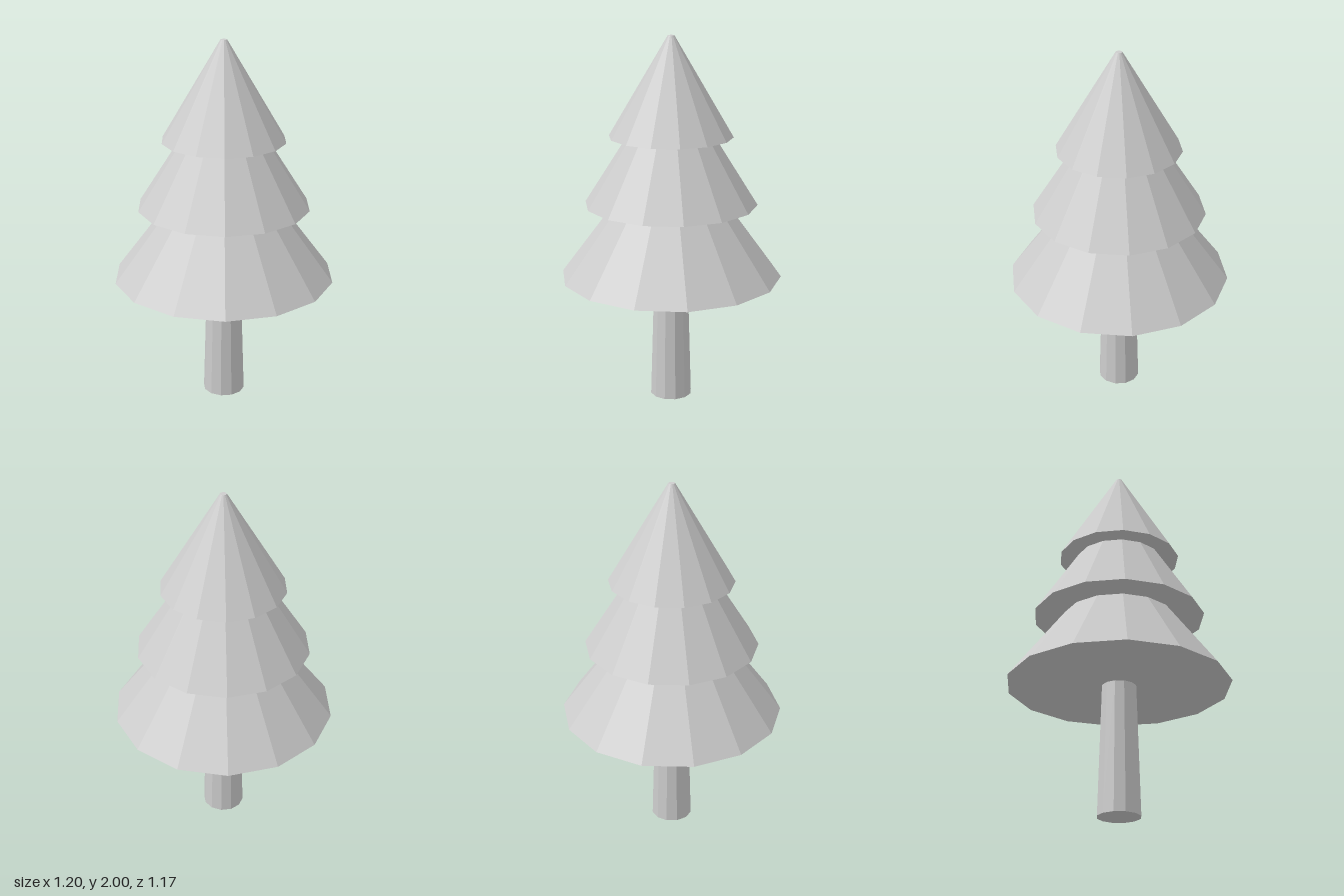
import * as THREE from 'three';

export function createModel() {
  const tree = new THREE.Group();
  tree.name = 'pineTree';
  const grey = new THREE.MeshStandardMaterial({ color: 0xcccccc, flatShading: true });
  grey.name = 'plainGrey';

  // Faceted tapered solid from y0 to y1, with a corner on the x axis
  function taper(name, sides, y0, r0, y1, r1) {
    const geometry = new THREE.CylinderGeometry(r1, r0, y1 - y0, sides);
    geometry.rotateY(Math.PI / 2);
    geometry.translate(0, (y0 + y1) / 2, 0);
    const mesh = new THREE.Mesh(geometry, grey);
    mesh.name = name;
    tree.add(mesh);
  }

  // Trunk, ending just inside the foliage
  taper('trunk', 12, 0, 0.115, 0.72, 0.093);

  // Foliage tiers, each tucked into the one above
  taper('lowerFoliage', 14, 0.705, 0.6, 1.49, 0.017);
  taper('middleFoliage', 14, 1.105, 0.465, 1.81, 0.017);
  taper('upperFoliage', 14, 1.47, 0.332, 2, 0.017);

  return tree;
}
